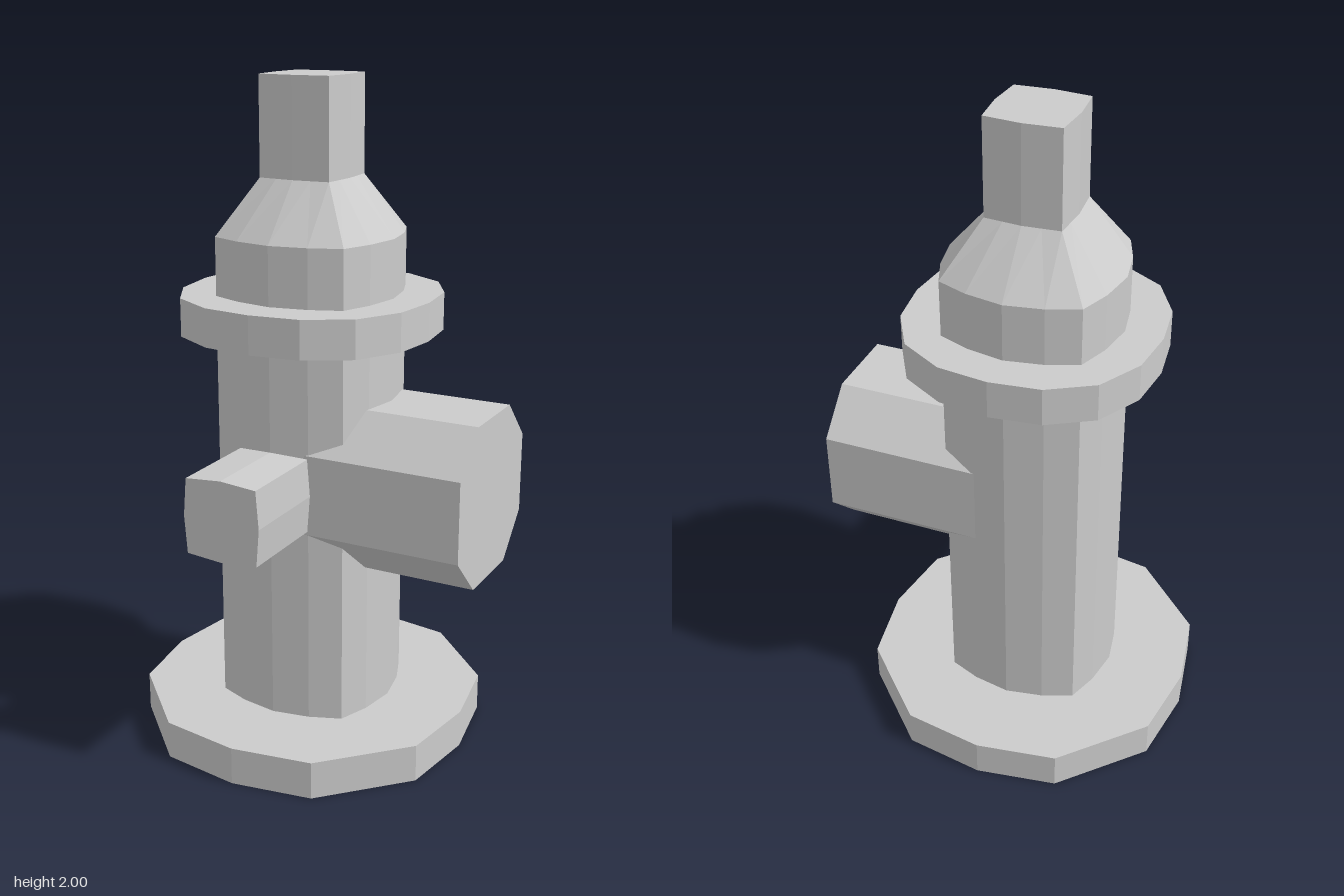
import * as THREE from 'three';

// Repeats the outline points of one quarter around the four sides
function ring(quarter) {
  const points = [];
  let q = quarter;
  for (let k = 0; k < 4; k++) {
    points.push(...q);
    q = q.map(([x, z]) => [z, -x]);
  }
  return points;
}

// Capped solid between a lower and an upper ring with equal point counts
function loft(lower, upper, y0, y1) {
  const pos = [];
  const n = lower.length;
  for (let i = 0; i < n; i++) {
    const j = (i + 1) % n;
    const a = [lower[i][0], y0, lower[i][1]];
    const b = [lower[j][0], y0, lower[j][1]];
    const c = [upper[j][0], y1, upper[j][1]];
    const d = [upper[i][0], y1, upper[i][1]];
    pos.push(...a, ...b, ...c, ...a, ...c, ...d);
    pos.push(0, y1, 0, ...d, ...c, 0, y0, 0, ...b, ...a);
  }
  const geometry = new THREE.BufferGeometry();
  geometry.setAttribute('position', new THREE.Float32BufferAttribute(pos, 3));
  geometry.computeVertexNormals();
  return geometry;
}

export function createModel() {
  const group = new THREE.Group();
  const material = new THREE.MeshStandardMaterial({ color: 0xcccccc, flatShading: true });
  const cx = -0.04, cz = -0.015, outletY = 0.83;

  const add = (name, geometry, y = 0) => {
    const mesh = new THREE.Mesh(geometry, material);
    mesh.name = name;
    mesh.position.set(cx, y, cz);
    group.add(mesh);
  };

  // Outlines
  const baseRing = ring([[0, 0.508], [0.243, 0.47], [0.47, 0.243]]);
  const bodyRing = ring([[0, 0.262], [0.113, 0.242], [0.206, 0.206], [0.242, 0.113]]);
  const collarRing = ring([[0, 0.374], [0.15, 0.356], [0.281, 0.281], [0.356, 0.15]]);
  const neckRing = ring([[0, 0.12], [0.0555, 0.1155], [0.111, 0.111], [0.1155, 0.0555]]);
  const outletRing = ring([[-0.121, 0.244], [0.121, 0.244]]);

  // Upright column
  add('base', loft(baseRing, baseRing, 0, 0.115));
  add('body', loft(bodyRing, bodyRing, 0.115, 1.55));
  add('collar', loft(collarRing, collarRing, 1.265, 1.378));
  add('shoulder', loft(bodyRing, neckRing, 1.55, 1.713));
  add('topNut', loft(neckRing, neckRing, 1.713, 2));

  // Outlets start inside the body
  add('frontOutlet', loft(neckRing, neckRing, 0.05, 0.535).rotateX(Math.PI / 2), outletY);
  add('sideOutlet', loft(outletRing, outletRing, 0, 0.582).rotateZ(-Math.PI / 2), outletY);

  return group;
}
